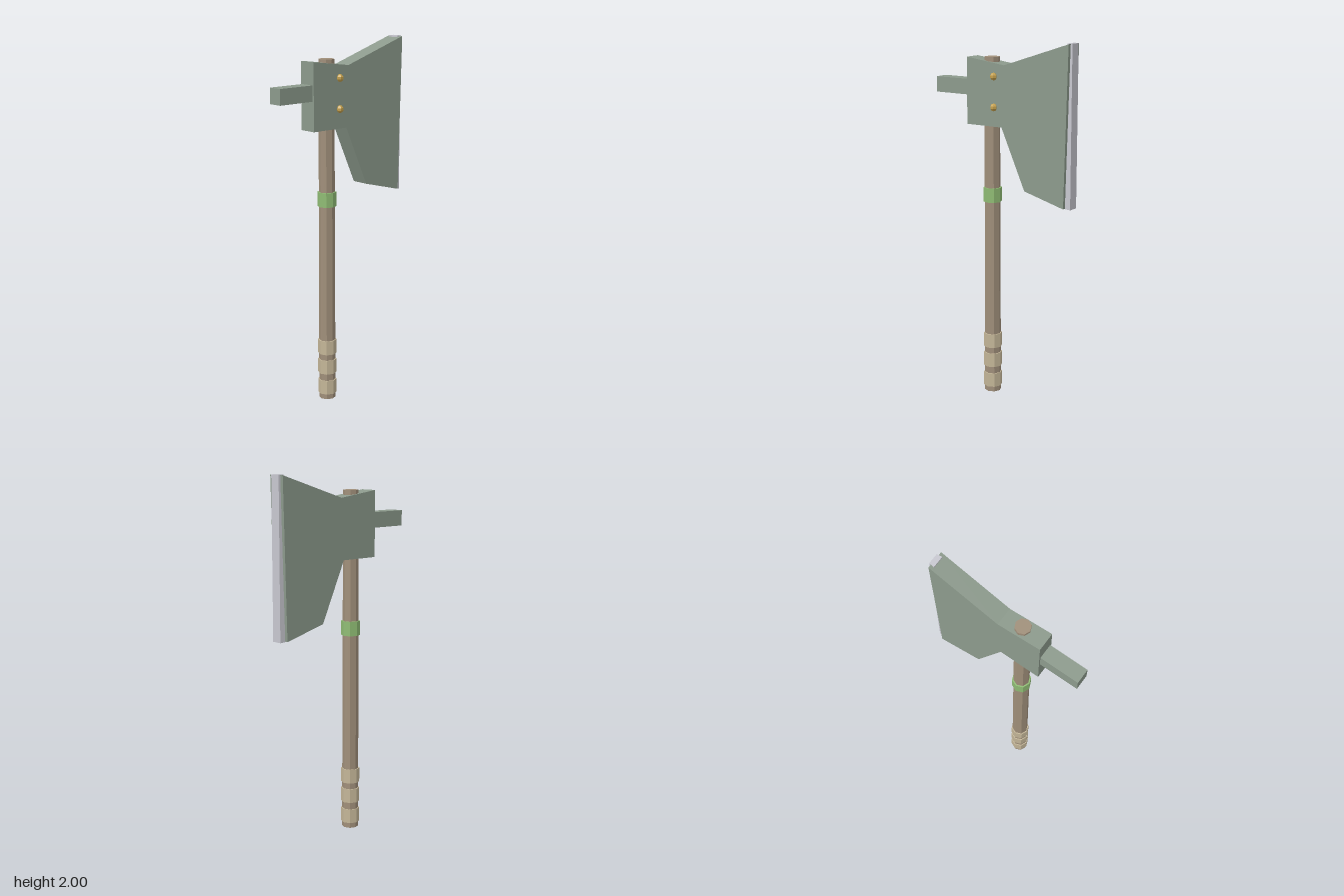
import * as THREE from 'three';

const AX = -0.012, AZ = 0.087; // shaft axis

const mat = (color) => new THREE.MeshStandardMaterial({ color, flatShading: true });

export function createModel() {
  const group = new THREE.Group();
  const steel = mat(0x8c9a8c), wood = mat(0xa08f7a), wrap = mat(0xc4b698);
  const green = mat(0x8fbc74), edgeSteel = mat(0xc8c8d0), brass = mat(0xc4a04c);

  const add = (name, geometry, material, x, y, z) => {
    const mesh = new THREE.Mesh(geometry, material);
    mesh.name = name;
    mesh.position.set(x, y, z);
    group.add(mesh);
    return mesh;
  };

  // Side profile given as [z, y], extruded across x and centred on the shaft
  const slab = (points, width) => {
    const shape = new THREE.Shape(points.map(([z, y]) => new THREE.Vector2(-z, y)));
    const g = new THREE.ExtrudeGeometry(shape, { depth: width, bevelEnabled: false });
    return g.translate(0, 0, -width / 2).rotateY(Math.PI / 2);
  };

  // Octagonal shaft
  add('shaft', new THREE.CylinderGeometry(0.042, 0.046, 1.905, 8), wood, AX, 0.9525, AZ);

  // Grip wraps and the coloured band
  const ring = new THREE.CylinderGeometry(0.0515, 0.0515, 0.08, 8);
  [0.07, 0.19, 0.305].forEach((y, i) => add(`gripWrap${i + 1}`, ring, wrap, AX, y, AZ));
  add('band', ring, green, AX, 1.15, AZ);

  // Axe head with flared blade
  add('axeHead', slab([
    [0.22, 1.535], [-0.01, 1.535], [-0.16, 1.205], [-0.407, 1.14],
    [-0.428, 1.998], [-0.025, 1.868], [0.22, 1.90],
  ], 0.1), steel, AX, 0, 0);

  // Pale cutting edge let into the blade, slightly narrower at the back
  const edge = slab([[-0.405, 1.138], [-0.438, 1.135], [-0.438, 2], [-0.408, 2]], 0.064);
  const p = edge.attributes.position;
  for (let i = 0; i < p.count; i++) if (p.getZ(i) < -0.43) p.setX(i, p.getX(i) * 0.92);
  add('cuttingEdge', edge, edgeSteel, AX, 0, 0);

  // Square poll spike opposite the blade
  add('pollSpike', new THREE.BoxGeometry(0.082, 0.085, 0.22), steel, AX, 1.737, 0.328);

  // Rivets on one cheek
  const rivet = new THREE.SphereGeometry(0.021, 7, 5);
  [1.64, 1.805].forEach((y, i) => add(`rivet${i + 1}`, rivet, brass, 0.041, y, 0.039));

  return group;
}
